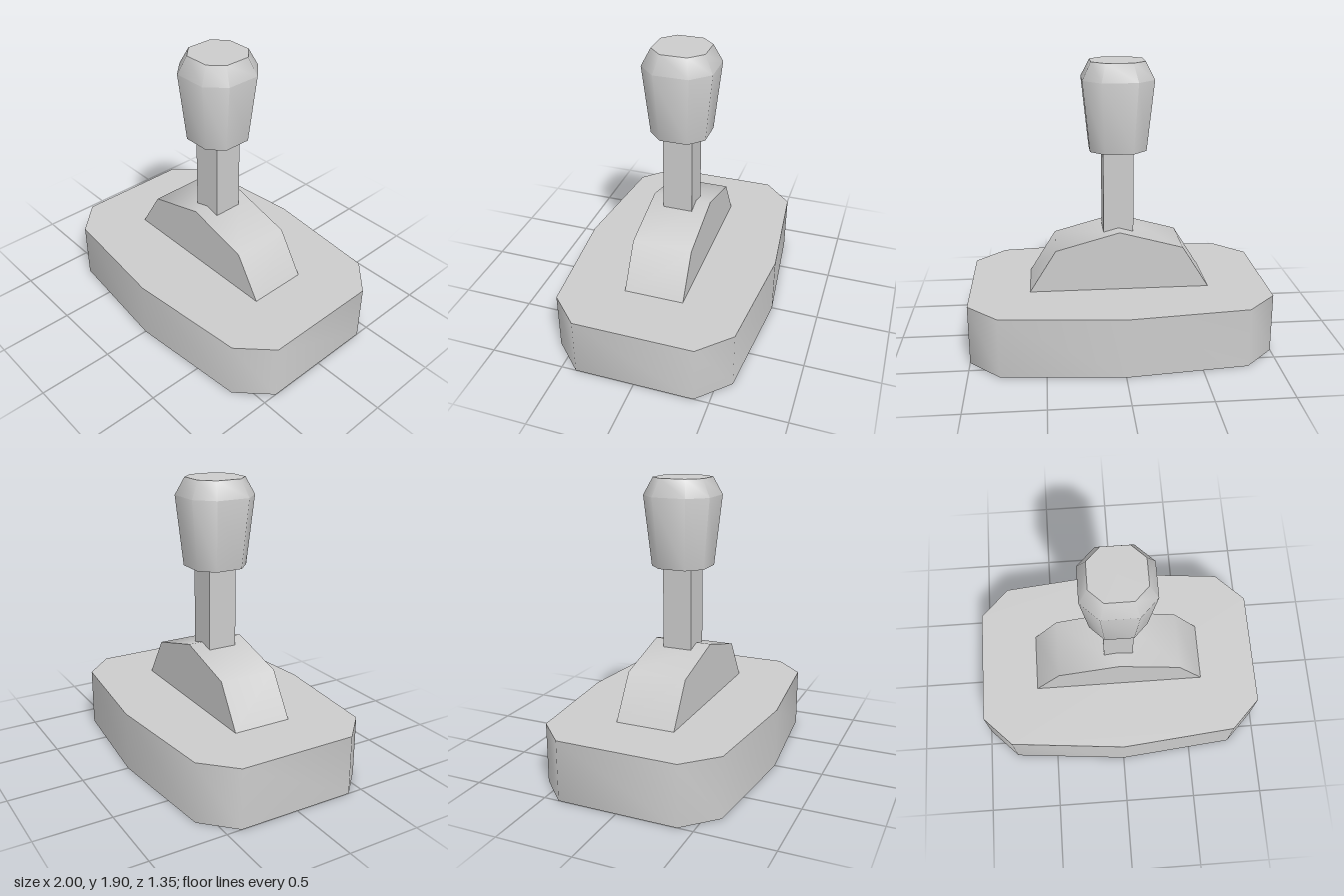
import * as THREE from 'three';
import { toCreasedNormals } from 'three/addons/utils/BufferGeometryUtils.js';

const CREASE = 0.9; // smooth around 45 degree corners, sharp at caps

export function createModel() {
  const group = new THREE.Group();
  const material = new THREE.MeshStandardMaterial({ color: 0xcccccc });

  const add = (name, geometry) => {
    const mesh = new THREE.Mesh(geometry, material);
    mesh.name = name;
    group.add(mesh);
  };

  const extrude = (points, depth) => {
    const shape = new THREE.Shape(points.map(([x, y]) => new THREE.Vector2(x, y)));
    return new THREE.ExtrudeGeometry(shape, { depth, bevelEnabled: false });
  };

  // Base: ten-sided slab with bowed long sides
  const half = [[1, -0.4], [1, 0.4], [0.8, 0.6], [0, 0.677]];
  const outline = [[0.8, -0.6], ...half, [-0.8, 0.6], [-1, 0.4], [-1, -0.4], [-0.8, -0.6], [0, -0.677]];
  add('base', toCreasedNormals(extrude(outline, 0.4).rotateX(-Math.PI / 2), CREASE));

  // Hump: faceted arch across the base
  const arch = [[-0.6, 0.4], [0.6, 0.4], [0.424, 0.683], [0, 0.8], [-0.424, 0.683]];
  add('hump', toCreasedNormals(extrude(arch, 0.4).translate(0, 0, -0.2), CREASE));

  // Square shaft, sunk into the hump and the grip
  add('shaft', new THREE.BoxGeometry(0.2, 0.65, 0.2).translate(0, 1.025, 0));

  // Grip: closed eight-sided lathe, reshaped to a square with cut corners
  const profile = [[0, 1.325], [0.185, 1.325], [0.232, 1.79], [0.175, 1.905], [0, 1.905]]
    .map(([r, y]) => new THREE.Vector2(r, y));
  const grip = new THREE.LatheGeometry(profile, 8, Math.PI / 8);
  const pos = grip.attributes.position;
  for (let i = 0; i < pos.count; i++) {
    const x = pos.getX(i), z = pos.getZ(i);
    const r = Math.hypot(x, z);
    const long = Math.abs(x) > Math.abs(z);
    pos.setX(i, Math.sign(x) * r * (long ? 1 : 0.5));
    pos.setZ(i, Math.sign(z) * r * (long ? 0.5 : 1));
  }
  add('grip', toCreasedNormals(grip, CREASE));

  return group;
}
